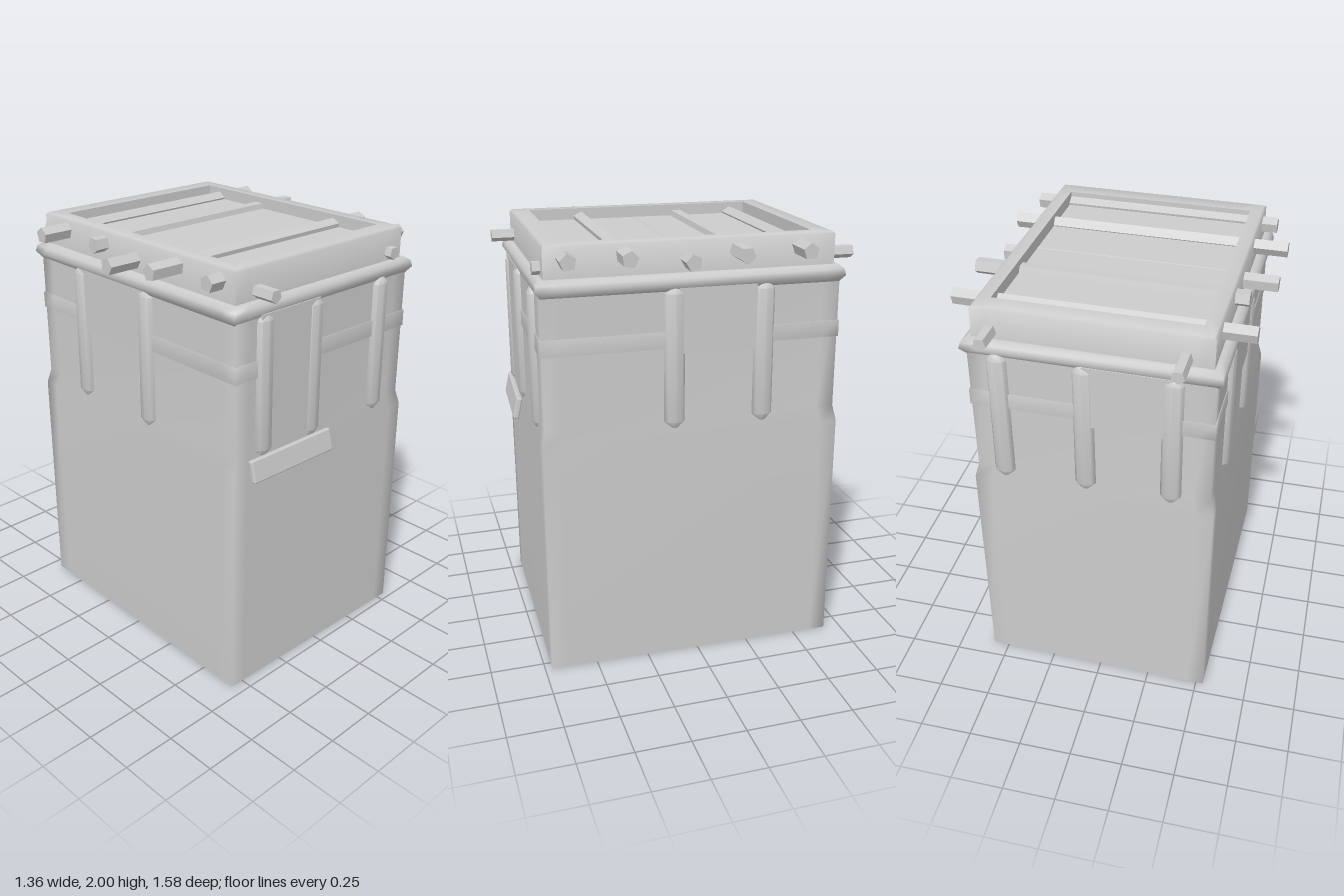
import * as THREE from 'three';
import { toCreasedNormals } from 'three/addons/utils/BufferGeometryUtils.js';
import { RoundedBoxGeometry } from 'three/addons/geometries/RoundedBoxGeometry.js';

const smooth = new THREE.MeshStandardMaterial({ color: 0xcccccc, side: THREE.DoubleSide });
const flat = new THREE.MeshStandardMaterial({ color: 0xcccccc, flatShading: true });

function add(parent, name, geometry, material, x = 0, y = 0, z = 0) {
  const mesh = new THREE.Mesh(geometry, material);
  mesh.name = name;
  mesh.position.set(x, y, z);
  parent.add(mesh);
  return mesh;
}

// Skin rectangular sections [halfX, halfZ, y]; support points beside each corner soften the shading
function loft(sections, b = 0.08) {
  const pos = [], index = [];
  for (const [hx, hz, y] of sections) {
    const ring = [
      [hx - b, hz], [hx, hz], [hx, hz - b],
      [hx, b - hz], [hx, -hz], [hx - b, -hz],
      [b - hx, -hz], [-hx, -hz], [-hx, b - hz],
      [-hx, hz - b], [-hx, hz], [b - hx, hz],
    ];
    for (const [x, z] of ring) pos.push(x, y, z);
  }
  for (let j = 0; j < sections.length - 1; j++) {
    for (let i = 0; i < 12; i++) {
      const a = j * 12 + i, c = j * 12 + (i + 1) % 12;
      index.push(a, c, c + 12, a, c + 12, a + 12);
    }
  }
  const g = new THREE.BufferGeometry();
  g.setAttribute('position', new THREE.Float32BufferAttribute(pos, 3));
  g.setIndex(index);
  g.computeVertexNormals();
  return g;
}

export function createModel() {
  const root = new THREE.Group();
  root.name = 'tower';
  const tower = new THREE.Group();
  tower.name = 'towerParts';
  tower.position.set(0.007, 0, 0.012);
  tower.rotation.y = -0.022;
  root.add(tower);

  // Hollow body, set in above the shoulder and open below
  add(tower, 'body', loft([
    [0.558, 0.693, 0], [0.558, 0.693, 1.12], [0.54, 0.679, 1.19], [0.54, 0.679, 1.8],
  ]), smooth);
  add(tower, 'band', loft([
    [0.538, 0.677, 1.525], [0.546, 0.685, 1.525], [0.546, 0.685, 1.6], [0.538, 0.677, 1.6],
  ]), smooth);

  // Bulging cornice and roof parapet
  add(tower, 'cornice', loft([
    [0.51, 0.645, 1.78], [0.545, 0.675, 1.78], [0.568, 0.697, 1.81],
    [0.561, 0.691, 1.838], [0.54, 0.672, 1.855], [0.51, 0.645, 1.855],
  ]), smooth);
  add(tower, 'parapet', toCreasedNormals(loft([
    [0.522, 0.655, 1.8], [0.522, 0.655, 1.99], [0.512, 0.645, 2],
    [0.455, 0.565, 2], [0.455, 0.565, 1.92],
  ]), 0.9), smooth);
  add(tower, 'roofDeck', new THREE.BoxGeometry(0.93, 0.02, 1.15), flat, 0, 1.935, 0);

  // Five-sided beams running through the parapet: [z, left end, right end, y, roll]
  [
    [-0.487, -0.665, 0.66, 1.942, 0.3], [-0.197, -0.585, 0.665, 1.94, 0.9],
    [0.022, -0.68, 0.61, 1.91, 0.1], [0.308, -0.68, 0.645, 1.945, 0.5],
    [0.563, -0.595, 0.615, 1.94, 0.2],
  ].forEach(([z, x0, x1, y, roll]) => {
    const g = new THREE.CylinderGeometry(0.038, 0.038, x1 - x0, 5);
    g.rotateY(roll).rotateZ(Math.PI / 2);
    add(tower, 'crossBeam', g, flat, (x0 + x1) / 2, y, z);
  });
  // Lengthwise beams, hidden under the deck: [x, back end, front end]
  [[-0.402, -0.81, 0.765], [0.437, -0.775, 0.69]].forEach(([x, z0, z1]) => {
    const g = new THREE.CylinderGeometry(0.031, 0.031, z1 - z0, 5);
    g.rotateX(Math.PI / 2);
    add(tower, 'longBeam', g, flat, x, 1.893, (z0 + z1) / 2);
  });

  // Wall battens with pointed ends, and boards between them.
  // Each side faces +z in its own frame; u runs to the right as seen from outside.
  const battenShape = [[0, 1.135], [0.048, 1.185], [0.046, 1.77], [0.02, 1.8], [0, 1.8]]
    .map(([r, y]) => new THREE.Vector2(r, y));
  const battenGeo = toCreasedNormals(new THREE.LatheGeometry(battenShape, 8), 0.9);
  [
    { name: 'front', turn: 0, depth: 0.679, battens: [-0.375, -0.075, 0.36], board: [-0.405, -0.055, 1.17] },
    { name: 'right', turn: Math.PI / 2, depth: 0.54, battens: [-0.09, 0.325], board: [-0.07, 0.285, 1.5] },
    { name: 'back', turn: Math.PI, depth: 0.679, battens: [-0.41, -0.03, 0.36], board: [-0.03, 0.36, 1.5] },
    { name: 'left', turn: -Math.PI / 2, depth: 0.54, battens: [-0.36, 0.11], board: [-0.36, 0.11, 1.5] },
  ].forEach(({ name, turn, depth, battens, board: [u0, u1, y0] }) => {
    const side = new THREE.Group();
    side.name = name + 'Wall';
    side.rotation.y = turn;
    tower.add(side);
    for (const u of battens) {
      add(side, 'batten', battenGeo, smooth, u, 0, depth).scale.z = 0.6;
    }
    add(side, 'board', new THREE.BoxGeometry(u1 - u0, 1.8 - y0, 0.03), flat,
      (u0 + u1) / 2, (1.8 + y0) / 2, depth + 0.001);
  });

  // Leaning sill plank under the front board
  const sill = add(tower, 'sill', new RoundedBoxGeometry(0.48, 0.105, 0.028, 2, 0.008),
    smooth, -0.23, 1.114, 0.718);
  sill.rotation.set(-0.22, -0.045, 0.02);

  return root;
}
